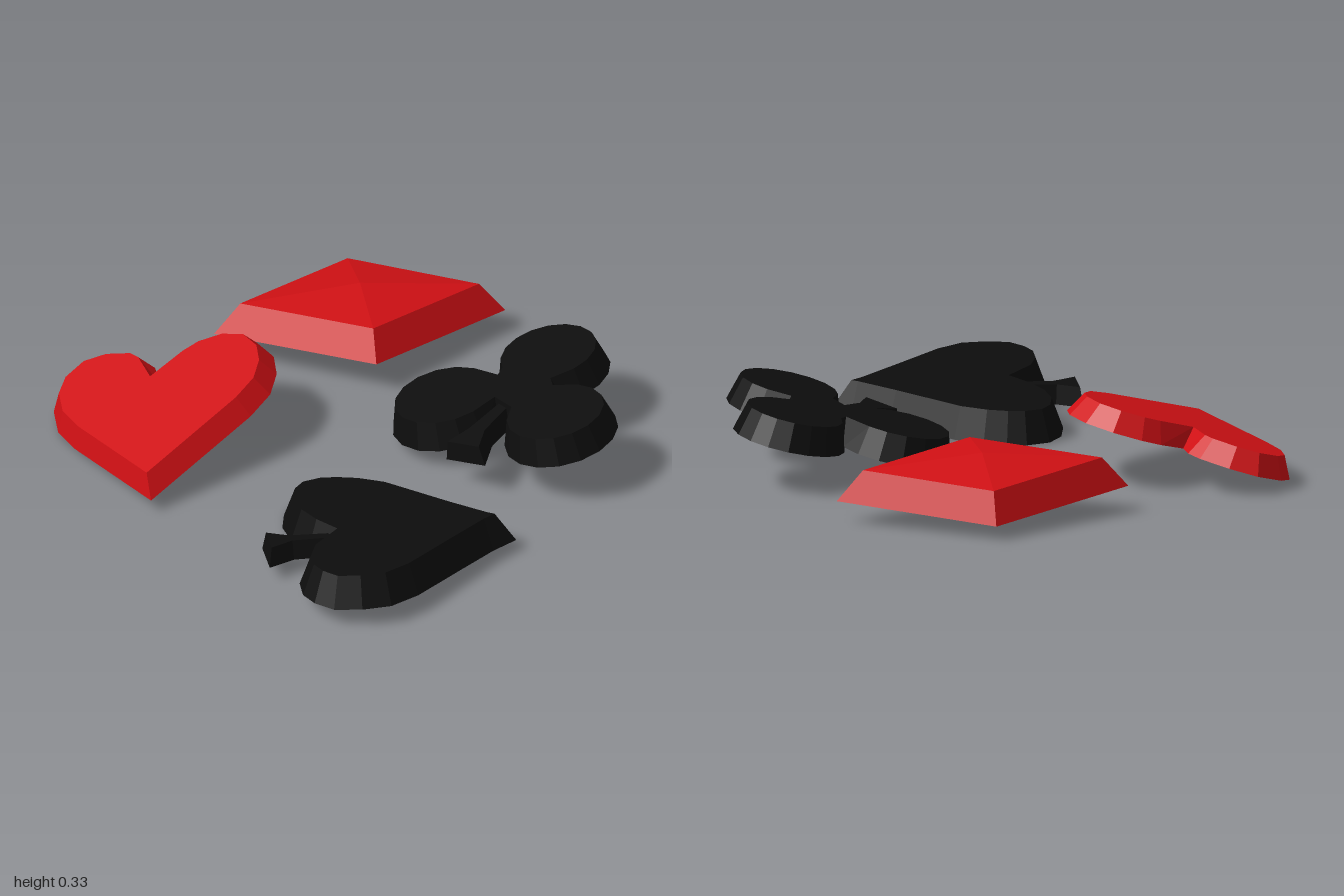
import * as THREE from 'three';

const RED = 0xd01014, BLACK = 0x0d0d0d;

// Offsets a closed outline of [x, z] points inwards
function insetOutline(pts, d) {
  const n = pts.length;
  return pts.map((p, i) => {
    const a = pts[(i + n - 1) % n], b = pts[(i + 1) % n];
    const u = new THREE.Vector2(p[0] - a[0], p[1] - a[1]).normalize();
    const v = new THREE.Vector2(b[0] - p[0], b[1] - p[1]).normalize();
    const m = new THREE.Vector2(-u.y - v.y, u.x + v.x).normalize();
    const cos = Math.max(0.1, m.x * -u.y + m.y * u.x);
    const limit = u.x * v.y - u.y * v.x < 0 ? 1.2 : 2.2; // concave corners move less
    const s = d * Math.min(limit, 1 / cos);
    return [p[0] + m.x * s, p[1] + m.y * s];
  });
}

// Bevelled slab lying on the tilted plane y = a + b x + c z; apex raises a faceted top
function slab(name, color, outline, [a, b, c], thickness, bevel, apex = 0, lift = 0) {
  const normal = new THREE.Vector3(-b, 1, -c).normalize();
  const at = ([x, z], h) => new THREE.Vector3(x, a + b * x + c * z, z).addScaledVector(normal, h);
  const low = outline.map(p => at(p, lift));
  const high = insetOutline(outline, bevel).map(p => at(p, lift + thickness));
  const pos = [];
  const tri = (...vs) => vs.forEach(v => pos.push(v.x, v.y, v.z));
  const n = outline.length;

  // Sloping sides
  for (let i = 0; i < n; i++) {
    const j = (i + 1) % n;
    tri(low[i], high[i], low[j]);
    tri(low[j], high[i], high[j]);
  }
  // Underside and top
  const faces = ring => THREE.ShapeUtils.triangulateShape(ring.map(v => new THREE.Vector2(v.x, v.z)), []);
  for (const [i, j, k] of faces(low)) tri(low[i], low[j], low[k]);
  if (apex) {
    const mid = new THREE.Vector3();
    high.forEach(v => mid.addScaledVector(v, 1 / n));
    mid.addScaledVector(normal, apex);
    for (let i = 0; i < n; i++) tri(high[i], mid, high[(i + 1) % n]);
  } else {
    for (const [i, j, k] of faces(high)) tri(high[i], high[k], high[j]);
  }

  const geo = new THREE.BufferGeometry();
  geo.setAttribute('position', new THREE.Float32BufferAttribute(pos, 3));
  geo.computeVertexNormals();
  const mesh = new THREE.Mesh(geo, new THREE.MeshStandardMaterial({ color }));
  mesh.name = name;
  return mesh;
}

// Points on a round lobe, angles in degrees
function arc(cx, cz, r, from, to, steps = 13) {
  return Array.from({ length: steps + 1 }, (_, i) => {
    const t = THREE.MathUtils.degToRad(from + (to - from) * i / steps);
    return [cx + r * Math.cos(t), cz + r * Math.sin(t)];
  });
}

export function createModel() {
  const model = new THREE.Group();
  model.name = 'cardSuits';

  // Heart
  const heart = [
    [-0.92, -0.18], [-0.87, -0.69], [-0.84, -0.82], [-0.77, -0.93], [-0.68, -0.99], [-0.56, -1.0],
    [-0.47, -0.94], [-0.41, -0.84], [-0.41, -0.77], [-0.46, -0.68], [-0.34, -0.695], [-0.26, -0.68],
    [-0.17, -0.62], [-0.12, -0.52], [-0.14, -0.40], [-0.20, -0.31], [-0.29, -0.24], [-0.41, -0.21],
  ];
  model.add(slab('heart', RED, heart, [0.35, 0.306, 0.102], 0.083, 0.042));

  // Diamond with a shallow four-sided crown
  const diamond = [[-0.04, -0.87], [0.63, -0.91], [0.92, -0.32], [0.26, -0.28]];
  model.add(slab('diamond', RED, diamond, [0.168, -0.062, 0.0815], 0.118, 0.055, 0.045));

  // Spade: body and flared stem
  const spadePlane = [-0.026, -0.0375, 0.077];
  const spade = new THREE.Group();
  spade.name = 'spade';
  const spadeBody = [
    [-0.04, 0.90], [-0.08, 0.82], [-0.13, 0.66], [-0.21, 0.37], [-0.27, 0.27], [-0.33, 0.205],
    [-0.39, 0.16], [-0.48, 0.135], [-0.56, 0.165], [-0.63, 0.24], [-0.67, 0.34], [-0.68, 0.45],
    [-0.67, 0.53], [-0.79, 0.565], [-0.87, 0.63], [-0.92, 0.71], [-0.93, 0.79], [-0.91, 0.88],
    [-0.83, 0.95], [-0.73, 1.0], [-0.60, 1.0], [-0.36, 0.95], [-0.16, 0.91],
  ].reverse();
  const spadeStem = [[-0.89, 0.48], [-0.81, 0.34], [-0.75, 0.43], [-0.62, 0.52], [-0.65, 0.57], [-0.78, 0.49]];
  spade.add(
    slab('spadeBody', BLACK, spadeBody, spadePlane, 0.12, 0.045),
    slab('spadeStem', BLACK, spadeStem, spadePlane, 0.075, 0.012, 0, 0.015),
  );
  model.add(spade);

  // Club: three round lobes and flared stem
  const clubPlane = [0.023, 0.171, 0.134];
  const club = new THREE.Group();
  club.name = 'club';
  const clubBody = [
    ...arc(0.27, 0.14, 0.217, 71, 370),
    ...arc(0.68, 0.258, 0.21, 204, 479),
    ...arc(0.425, 0.605, 0.213, -46, 243),
  ];
  const clubStem = [[0.12, 0.53], [0.07, 0.365], [0.19, 0.365], [0.38, 0.33], [0.41, 0.39], [0.22, 0.45]];
  club.add(
    slab('clubLobes', BLACK, clubBody, clubPlane, 0.108, 0.03),
    slab('clubStem', BLACK, clubStem, clubPlane, 0.075, 0.012, 0, 0.015),
  );
  model.add(club);

  return model;
}
